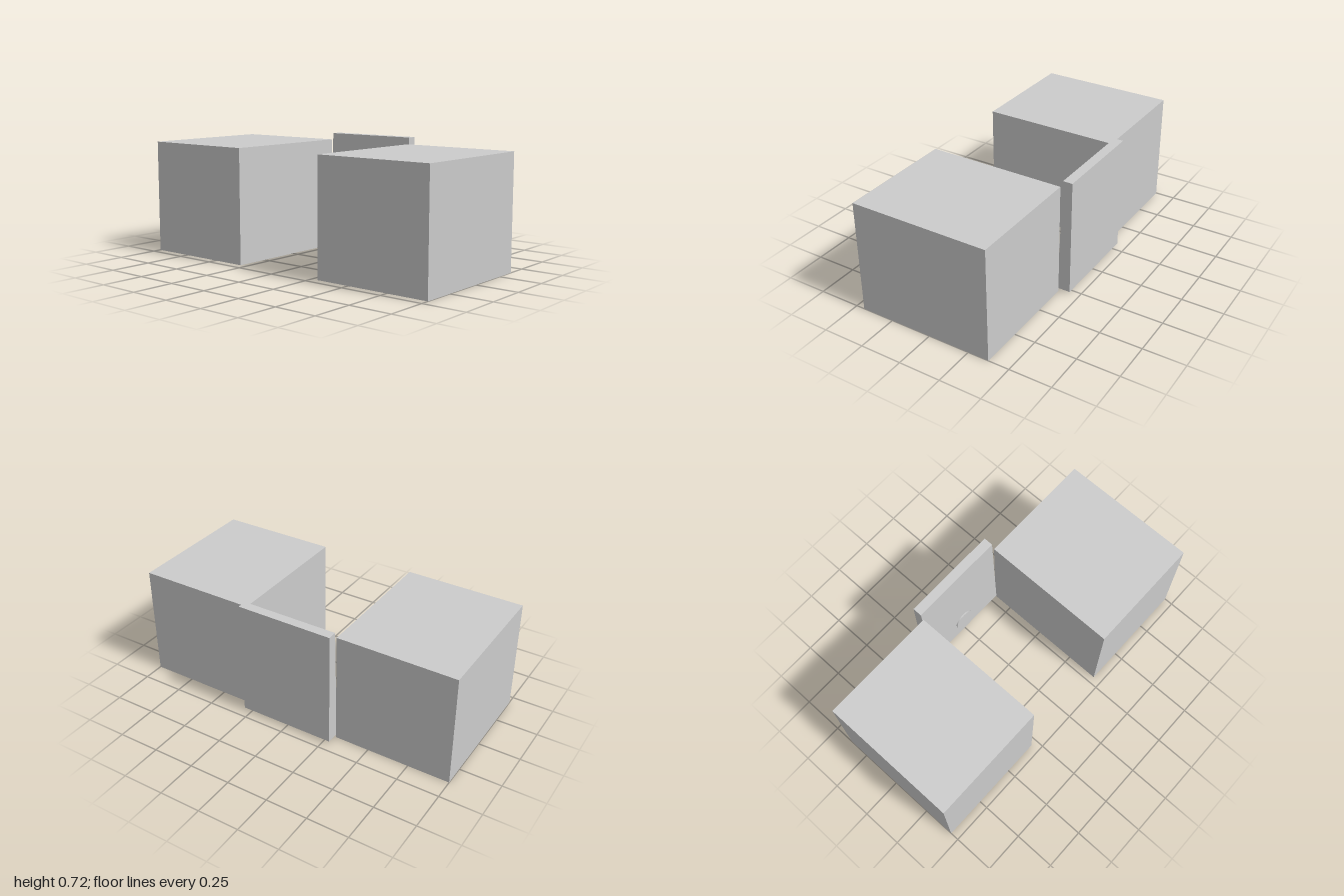
import * as THREE from 'three';

export function createModel() {
  const group = new THREE.Group();
  const material = new THREE.MeshStandardMaterial({ color: 0xcccccc });
  const add = (name, geometry, x, y, z) => {
    const mesh = new THREE.Mesh(geometry, material);
    mesh.name = name;
    mesh.position.set(x, y, z);
    group.add(mesh);
    return mesh;
  };

  // Two mirrored side blocks
  for (const [name, side] of [['leftBlock', 1], ['rightBlock', -1]]) {
    add(name, new THREE.BoxGeometry(0.708, 0.677, 0.822), side * 0.646, 0.3385, 0.036);
  }

  // Back panel whose front face leans back towards the top
  const height = 0.698, depth = 0.057, lean = 0.022;
  const panel = new THREE.BoxGeometry(0.584, height, depth);
  const p = panel.attributes.position;
  for (let i = 0; i < p.count; i++) {
    if (p.getZ(i) > 0 && p.getY(i) < 0) p.setZ(i, p.getZ(i) + lean);
  }
  panel.computeVertexNormals();
  add('backPanel', panel, 0, 0.018 + height / 2, -0.447 + depth / 2);

  // Round button set low on the front of the panel, following its slope
  const button = add('button', new THREE.CylinderGeometry(0.065, 0.065, 0.02, 48), 0, 0.15, -0.374);
  button.rotation.x = Math.PI / 2 - Math.atan(lean / height);

  return group;
}
